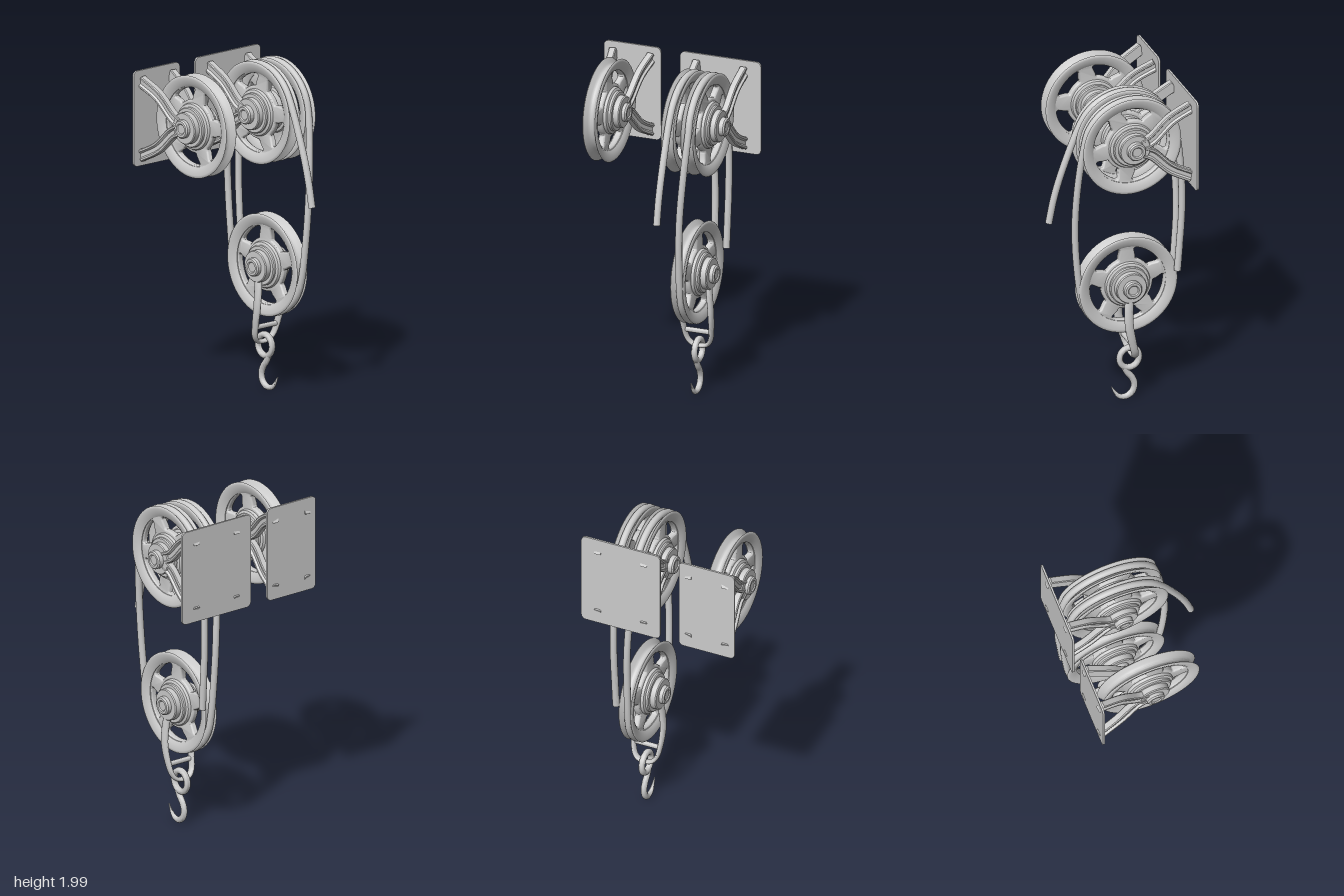
import * as THREE from 'three';
import { toCreasedNormals } from 'three/addons/utils/BufferGeometryUtils.js';

const V = (x, y, z) => new THREE.Vector3(x, y, z);
const material = new THREE.MeshStandardMaterial({ color: 0xcccccc, side: THREE.DoubleSide });
const AXIS_Z = -0.06, TOP_Y = 1.69, LOW_Y = 0.765, R = 0.287;

function add(parent, name, geometry, crease = 0.6) {
  const mesh = new THREE.Mesh(toCreasedNormals(geometry, crease), material);
  mesh.name = name;
  parent.add(mesh);
  return mesh;
}

// Sweeps a closed section along a curve; the section's first axis follows ref
function sweep(curve, section, ref, steps, taper = () => 1) {
  const pos = [], idx = [], n = section.length;
  for (let i = 0; i <= steps; i++) {
    const t = i / steps, p = curve.getPointAt(t), T = curve.getTangentAt(t);
    const B = ref.clone().addScaledVector(T, -ref.dot(T)).normalize();
    const N = T.clone().cross(B);
    for (const [a, b] of section) {
      const q = p.clone().addScaledVector(B, a * taper(t)).addScaledVector(N, b * taper(t));
      pos.push(q.x, q.y, q.z);
    }
  }
  const first = pos.length / 3, last = steps * n;
  pos.push(...curve.getPointAt(0).toArray(), ...curve.getPointAt(1).toArray());
  for (let j = 0; j < n; j++) {
    const k = (j + 1) % n;
    for (let i = 0; i < steps; i++) {
      const a = i * n + j, b = i * n + k;
      idx.push(a, b, a + n, b, b + n, a + n);
    }
    idx.push(first, k, j, first + 1, last + j, last + k);
  }
  const g = new THREE.BufferGeometry();
  g.setAttribute('position', new THREE.Float32BufferAttribute(pos, 3));
  g.setIndex(idx);
  return g;
}

const ellipse = (rx, ry, n = 14) => Array.from({ length: n }, (_, i) => {
  const a = i / n * Math.PI * 2;
  return [rx * Math.cos(a), ry * Math.sin(a)];
});
const curve = pts => new THREE.CatmullRomCurve3(pts.map(p => V(...p)), false, 'centripetal');

// Lathe around the x axis from a half profile [radius, offset], mirrored about its middle
function latheX(half, close) {
  const pts = half.map(([r, y]) => [r, -y]).concat(half.slice().reverse());
  if (close) pts.push(pts[0]);
  return new THREE.LatheGeometry(pts.map(([r, y]) => new THREE.Vector2(r, y)), 56).rotateZ(-Math.PI / 2);
}

// Rounded opening between two spokes
function spokeHole(mid) {
  const r1 = 0.15, r2 = 0.24, a1 = 0.38, a2 = 0.47, c = 0.025;
  const P = (r, a) => [r * Math.cos(mid + a), r * Math.sin(mid + a)];
  const h = new THREE.Path();
  h.moveTo(...P(r1 + c, -a1));
  h.lineTo(...P(r2 - c, -a2));
  h.quadraticCurveTo(...P(r2, -a2), ...P(r2, -a2 + 0.12));
  h.absarc(0, 0, r2, mid - a2 + 0.12, mid + a2 - 0.12, false);
  h.quadraticCurveTo(...P(r2, a2), ...P(r2 - c, a2));
  h.lineTo(...P(r1 + c, a1));
  h.quadraticCurveTo(...P(r1, a1), ...P(r1, a1 - 0.15));
  h.absarc(0, 0, r1, mid + a1 - 0.15, mid - a1 + 0.15, true);
  h.quadraticCurveTo(...P(r1, -a1), ...P(r1 + c, -a1));
  return h;
}

// Grooved wheel with five spokes
function makeWheel(x, y, firstHole) {
  const g = new THREE.Group();
  g.name = 'wheel';
  g.position.set(x, y, AXIS_Z);
  add(g, 'rim', latheX([[0.238, 0.024], [0.255, 0.035], [0.288, 0.043], [0.3, 0.043],
    [0.305, 0.038], [0.298, 0.032], [0.277, 0.02], [0.267, 0.009], [0.265, 0]], true), 0.9);
  const disc = new THREE.Shape().absarc(0, 0, 0.25, 0, Math.PI * 2, false);
  for (let i = 0; i < 5; i++) disc.holes.push(spokeHole(firstHole + i * Math.PI * 0.4));
  const web = new THREE.ExtrudeGeometry(disc, { depth: 0.016, bevelThickness: 0.012, bevelSize: 0.01, bevelSegments: 3, curveSegments: 20 });
  add(g, 'spokes', web.translate(0, 0, -0.008).rotateY(Math.PI / 2), 0.8);
  add(g, 'wheelHub', latheX([[0, 0.042], [0.122, 0.042], [0.135, 0.036], [0.14, 0.026], [0.14, 0]]));
  return g;
}

// Stepped hub: spacer, bracket boss and dished axle end
function addHub(parent, x, y, spacer, boss, axle) {
  add(parent, 'hubAndAxle', latheX([[0, axle - 0.006], [0.028, axle - 0.006], [0.034, axle], [0.048, axle],
    [0.055, axle - 0.008], [0.055, boss], [0.09, boss], [0.095, boss - 0.006], [0.095, spacer],
    [0.114, spacer], [0.12, spacer - 0.006], [0.12, 0]])).position.set(x, y, AXIS_Z);
}

// Wall plate with two curved, grooved arms on each side
function addBracket(parent, x, halfWidth, hubX, wallX) {
  const w = halfWidth, h = 0.287, r = 0.03, s = new THREE.Shape();
  s.absarc(w - r, h - r, r, 0, Math.PI / 2);
  s.absarc(r - w, h - r, r, Math.PI / 2, Math.PI);
  s.absarc(r - w, r - h, r, Math.PI, Math.PI * 1.5);
  s.absarc(w - r, r - h, r, Math.PI * 1.5, Math.PI * 2);
  const plate = new THREE.ExtrudeGeometry(s, { depth: 0.012, bevelEnabled: false, curveSegments: 6 });
  add(parent, 'wallPlate', plate).position.set(x, 1.693, -0.417);
  for (const sx of [-1, 1]) for (const sy of [-1, 1]) {
    const path = curve([[x + sx * hubX, TOP_Y + sy * 0.02, -0.11], [x + sx * hubX, TOP_Y + sy * 0.05, -0.17],
      [x + sx * (hubX * 0.6 + wallX * 0.4), TOP_Y + sy * 0.155, -0.28],
      [x + sx * wallX, TOP_Y + sy * 0.225, -0.408]]);
    // channel section, groove facing away from the wheel
    const section = [[-0.02, -0.03], [-0.015, -0.035], [0.018, -0.035], [0.023, -0.03], [0.023, -0.02], [0.011, -0.011],
      [0.011, 0.011], [0.023, 0.02], [0.023, 0.03], [0.018, 0.035], [-0.015, 0.035], [-0.02, 0.03]];
    const oriented = sx > 0 ? section : section.map(([a, b]) => [-a, b]).reverse();
    add(parent, 'bracketArm', sweep(path, oriented, V(1, 0, 0), 20));
  }
}

function makeUpperPulley(name, x, wheels, hub, bracket) {
  const g = new THREE.Group();
  g.name = name;
  for (const [dx, hole] of wheels) g.add(makeWheel(x + dx, TOP_Y, hole));
  addHub(g, x, TOP_Y, ...hub);
  addBracket(g, x, ...bracket);
  return g;
}

function makeHookBlock(x) {
  const g = new THREE.Group();
  g.name = 'hookBlock';
  g.add(makeWheel(x, LOW_Y, Math.PI * 0.3));
  addHub(g, x, LOW_Y, 0.06, 0.098, 0.128);
  // U-shaped fork hanging from both ends of the hub
  const side = [[0.076, 0.7, -0.055], [0.086, 0.62, -0.045], [0.093, 0.52, -0.046], [0.087, 0.41, -0.068],
    [0.072, 0.335, -0.088], [0.045, 0.302, -0.098]];
  const fork = side.map(([a, b, c]) => [x - a, b, c]).concat([[x, 0.293, -0.1]], side.slice().reverse().map(([a, b, c]) => [x + a, b, c]));
  add(g, 'fork', sweep(curve(fork), ellipse(0.028, 0.017), V(0, 0, 1), 64, t => 1 - 0.25 * Math.sin(Math.PI * t) ** 4), 1.2);
  add(g, 'forkCrossbar', new THREE.CylinderGeometry(0.015, 0.015, 0.16, 16).rotateZ(Math.PI / 2)).position.set(x, 0.395, -0.07);
  // Eye and hook
  const eye = add(g, 'hookEye', new THREE.TorusGeometry(0.061, 0.019, 14, 36).rotateY(Math.PI / 2), 1.2);
  eye.position.set(x, 0.274, -0.08);
  eye.scale.y = 1.04;
  const hook = curve([[x, 0.215, -0.05], [x, 0.18, -0.068], [x, 0.145, -0.095], [x, 0.1, -0.111], [x, 0.055, -0.1],
    [x, 0.027, -0.062], [x, 0.034, -0.017], [x, 0.065, 0.01], [x, 0.102, 0.031]]);
  add(g, 'hook', sweep(hook, ellipse(0.018, 0.02), V(1, 0, 0), 40, t => t < 0.55 ? 1 : 1 - 0.85 * ((t - 0.55) / 0.45) ** 1.5), 1.2);
  return g;
}

function makeRope() {
  // points on a wheel's groove; degrees from the front (+z) upward over the top
  const arc = (x0, x1, y, from, to) => Array.from({ length: 9 }, (_, i) => {
    const a = (from + (to - from) * i / 8) * Math.PI / 180;
    return [x0 + (x1 - x0) * i / 8, y + R * Math.sin(a), AXIS_Z + R * Math.cos(a)];
  });
  const path = curve([
    [0.176, 1.2, 0.398], [0.176, 1.36, 0.365], [0.177, 1.54, 0.31],
    ...arc(0.178, 0.19, TOP_Y, 25, 170),
    [0.205, 1.45, -0.372], [0.217, 1.2, -0.38], [0.222, 0.95, -0.366],
    ...arc(0.226, 0.25, LOW_Y, -178, -10),
    [0.255, 0.95, 0.255], [0.265, 1.2, 0.268], [0.285, 1.48, 0.256],
    ...arc(0.302, 0.302, TOP_Y, 5, 170),
    [0.303, 1.45, -0.378], [0.302, 1.2, -0.382], [0.3, 1, -0.37], [0.298, 0.82, -0.357]]);
  const g = sweep(path, ellipse(0.021, 0.021, 12), V(1, 0, 0), 260);
  return g;
}

export function createModel() {
  const model = new THREE.Group();
  model.name = 'pulleySystem';
  const hole = -0.1;
  model.add(makeUpperPulley('singlePulley', -0.317, [[0, hole]], [0.062, 0.1, 0.127], [0.18, 0.083, 0.118]));
  model.add(makeUpperPulley('doublePulley', 0.24, [[-0.062, hole], [0.062, hole + 0.25]], [0.12, 0.155, 0.19], [0.255, 0.136, 0.148]));
  model.add(makeHookBlock(0.238));
  add(model, 'rope', makeRope(), 0.9);
  return model;
}
